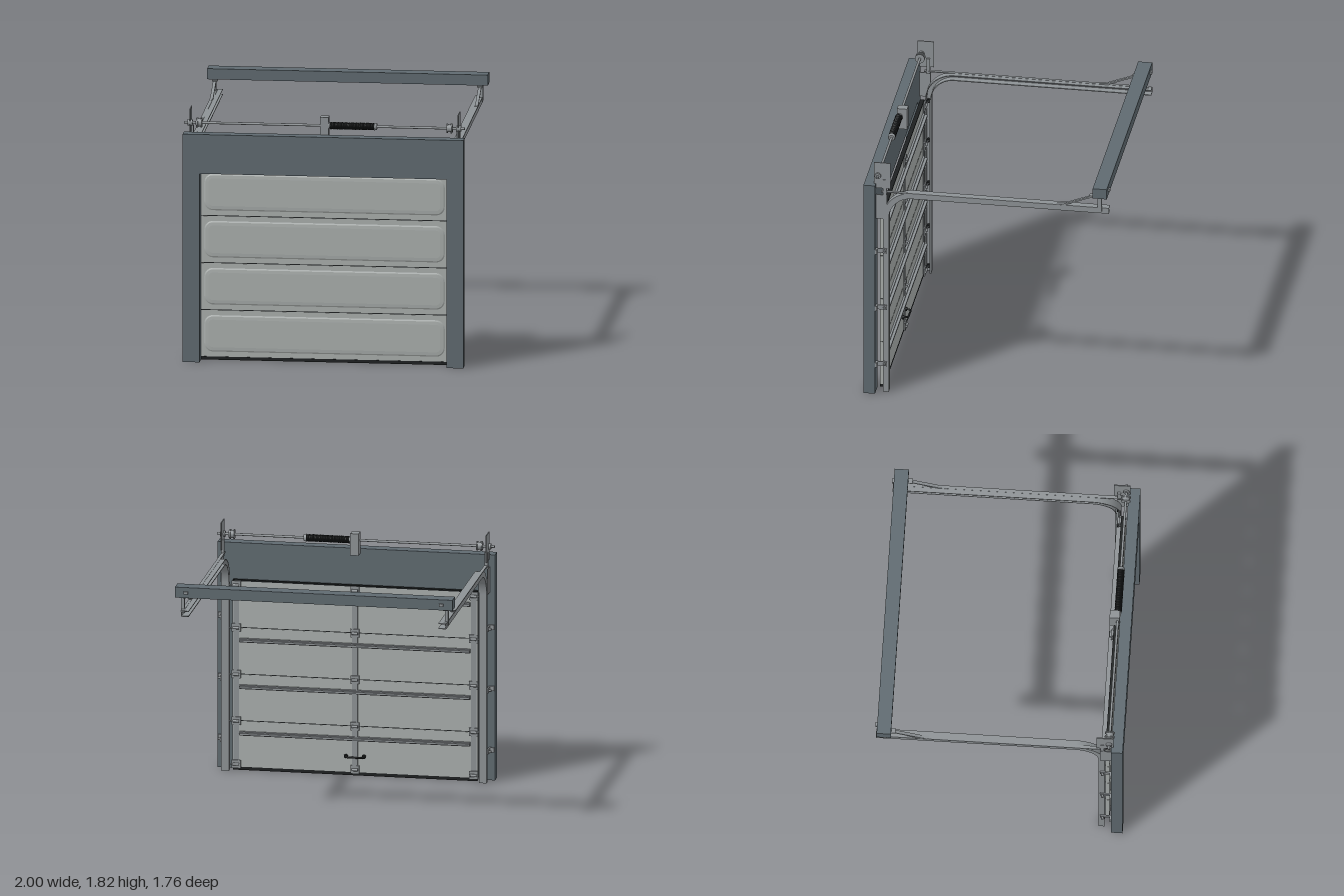
import * as THREE from 'three';

const mat = (name, color, side = THREE.FrontSide) => {
  const m = new THREE.MeshStandardMaterial({ color, side });
  m.name = name;
  return m;
};

export function createModel() {
  const frameGrey = mat('slate frame', 0x5f6a70);
  const panelGrey = mat('pale panel', 0xa9aeac);
  const steel = mat('galvanised steel', 0x8d9295);
  const black = mat('black rubber', 0x1d2021);
  const root = new THREE.Group();
  root.name = 'sectionalGarageDoor';

  const add = (name, geo, m, x = 0, y = 0, z = 0) => {
    const mesh = new THREE.Mesh(geo, m);
    mesh.name = name;
    mesh.position.set(x, y, z);
    root.add(mesh);
    return mesh;
  };
  // box given by its extents on each axis
  const box = (name, m, x0, x1, y0, y1, z0, z1) =>
    add(name, new THREE.BoxGeometry(Math.abs(x1 - x0), y1 - y0, z1 - z0), m,
      (x0 + x1) / 2, (y0 + y1) / 2, (z0 + z1) / 2);
  // cylinder lying along x
  const rod = (name, m, r, x0, x1, y, z, n = 20, r2 = r) =>
    add(name, new THREE.CylinderGeometry(r2, r, Math.abs(x1 - x0), n).rotateZ(-Math.PI / 2), m, (x0 + x1) / 2, y, z);
  // side outline of [z, y] points, extruded along x and centred on it
  const sidePlate = (name, m, shape, width, x) =>
    add(name, new THREE.ExtrudeGeometry(shape, { depth: width, bevelEnabled: false, curveSegments: 16 })
      .translate(0, 0, -width / 2).rotateY(-Math.PI / 2), m, x);

  // Wall surround: two jambs and a header in one piece
  const surround = new THREE.Shape([
    [-1, 0], [-0.88, 0], [-0.88, 1.37], [0.88, 1.37], [0.88, 0], [1, 0], [1, 1.655], [-1, 1.655],
  ].map(p => new THREE.Vector2(...p)));
  add('doorSurround', new THREE.ExtrudeGeometry(surround, { depth: 0.083, bevelEnabled: false }), frameGrey, 0, 0, 0.797);

  // Door sections with a raised, bevelled face
  const pitch = 0.342, base = 0.02;
  const w = 0.825, h = 0.1, r = 0.03;
  const face = new THREE.Shape();
  face.moveTo(-w + r, -h);
  face.lineTo(w - r, -h);
  face.absarc(w - r, -h + r, r, -Math.PI / 2, 0);
  face.absarc(w - r, h - r, r, 0, Math.PI / 2);
  face.absarc(-w + r, h - r, r, Math.PI / 2, Math.PI);
  face.absarc(-w + r, -h + r, r, Math.PI, Math.PI * 1.5);
  const bulge = new THREE.ExtrudeGeometry(face, {
    depth: 0.001, bevelThickness: 0.007, bevelSize: 0.032, bevelSegments: 2, curveSegments: 6,
  });
  for (let i = 0; i < 4; i++) {
    const y = base + i * pitch;
    box('doorSection', panelGrey, -0.885, 0.885, y + 0.003, y + pitch - 0.003, 0.752, 0.78);
    add('raisedFace', bulge, panelGrey, 0, y + pitch / 2, 0.779);
    // stiffening strut with a raised rib
    box('strut', steel, -0.83, 0.83, y + 0.235, y + 0.265, 0.738, 0.752);
    box('strutRib', steel, -0.83, 0.83, y + 0.243, y + 0.257, 0.718, 0.738);
    // upright stiles
    for (const x of [-0.855, 0, 0.855]) {
      box('stile', steel, x - 0.02, x + 0.02, y + 0.004, y + pitch - 0.004, 0.745, 0.752);
    }
    if (i) box('sectionJoint', black, -0.88, 0.88, y - 0.003, y + 0.003, 0.755, 0.777);
  }
  box('bottomSeal', black, -0.88, 0.88, 0, base + 0.003, 0.752, 0.782);
  box('topSeal', black, -0.88, 0.88, 1.385, 1.394, 0.75, 0.78);

  // Hinges on the joints, corner brackets, rollers
  for (let i = 0; i < 5; i++) {
    const y = i === 0 ? 0.045 : i === 4 ? 1.36 : base + i * pitch;
    for (const x of [-0.855, 0, 0.855]) {
      box('hingePlate', steel, x - 0.032, x + 0.032, y - 0.03, y + 0.03, 0.737, 0.747);
      rod('hingeKnuckle', steel, 0.01, x - 0.022, x + 0.022, y, 0.733, 10);
    }
    for (const s of [-1, 1]) {
      rod('rollerAxle', steel, 0.005, s * 0.84, s * 0.935, y, 0.73, 8);
      rod('roller', black, 0.014, s * 0.925, s * 0.945, y, 0.73, 14);
    }
  }

  // Pull handle on the inside
  const grip = new THREE.CatmullRomCurve3([
    [-0.065, 0, 0.03], [-0.055, 0, 0.005], [0, 0, 0], [0.055, 0, 0.005], [0.065, 0, 0.03],
  ].map(p => new THREE.Vector3(...p)));
  add('pullHandle', new THREE.TubeGeometry(grip, 24, 0.007, 8), black, 0, 0.14, 0.712);
  for (const s of [-1, 1]) {
    add('handleFoot', new THREE.CylinderGeometry(0.015, 0.015, 0.012, 14).rotateX(Math.PI / 2), black, s * 0.065, 0.14, 0.747);
  }

  // Band between two offsets of the track path: up, round the bend, then back
  const trackBand = (a, b) => {
    const zc = 0.54, yc = 1.385, R = 0.165;
    const s = new THREE.Shape();
    s.moveTo(zc + R + b, 0);
    s.lineTo(zc + R + b, yc);
    s.absarc(zc, yc, R + b, 0, Math.PI / 2, false);
    s.lineTo(-0.875, yc + R + b);
    s.lineTo(-0.875, yc + R + a);
    s.lineTo(zc, yc + R + a);
    s.absarc(zc, yc, R + a, Math.PI / 2, 0, true);
    s.lineTo(zc + R + a, 0);
    return s;
  };
  const strap = new THREE.Shape([
    [-0.5, 1.59], [-0.55, 1.59], [-0.77, 1.676], [-0.8, 1.676], [-0.8, 1.686], [-0.765, 1.686], [-0.55, 1.602], [-0.5, 1.597],
  ].map(p => new THREE.Vector2(...p)));

  const shaftY = 1.72, shaftZ = 0.782;
  for (const s of [-1, 1]) {
    // C-shaped track, open towards the door
    sidePlate('trackWeb', steel, trackBand(0, 0.042), 0.006, s * 0.953);
    sidePlate('trackInnerFlange', steel, trackBand(0, 0.006), 0.052, s * 0.926);
    sidePlate('trackOuterFlange', steel, trackBand(0.036, 0.042), 0.052, s * 0.926);
    box('trackLip', steel, s * 0.9, s * 0.904, 0, 1.385, 0.705, 0.718);
    box('trackAngle', steel, s * 0.935, s * 0.958, 1.587, 1.594, -0.87, 0.76);

    // Track fixings on the jamb
    for (const y of [0.225, 0.675, 1.125]) {
      box('trackBracket', steel, s * 0.956, s * 0.966, y - 0.017, y + 0.017, 0.717, 0.797);
      box('bracketFoot', steel, s * 0.96, s * 0.995, y - 0.017, y + 0.017, 0.785, 0.797);
      rod('bracketBolt', steel, 0.009, s * 0.95, s * 0.985, y, 0.735, 8);
    }
    box('flagPlate', steel, s * 0.957, s * 0.964, 1.38, 1.57, 0.717, 0.797);
    box('flagPost', steel, s * 0.938, s * 0.962, 1.57, 1.69, 0.72, 0.745);

    // Shaft end plate, bearing and cable drum
    box('endPlate', steel, s * 0.952, s * 0.959, 1.62, 1.822, 0.692, 0.812);
    rod('endBearing', steel, 0.022, s * 0.94, s * 0.975, shaftY, shaftZ);
    rod('cableDrum', steel, 0.027, s * 0.872, s * 0.915, shaftY, shaftZ, 24);
    rod('drumFlange', steel, 0.035, s * 0.872, s * 0.88, shaftY, shaftZ, 24);
    rod('drumFlange', steel, 0.035, s * 0.9, s * 0.91, shaftY, shaftZ, 24);

    // Hanger under the rear beam
    box('hangerPost', steel, s * 0.94, s * 0.962, 1.565, 1.686, -0.825, -0.795);
    box('hangerPlate', steel, s * 0.925, s * 0.962, 1.677, 1.686, -0.842, -0.735);
    sidePlate('hangerStrap', steel, strap, 0.022, s * 0.945);
    box('beamBolt', steel, s * 0.905, s * 0.935, 1.715, 1.735, -0.88, -0.86);
  }
  box('rearBeam', frameGrey, -1, 1, 1.686, 1.763, -0.867, -0.766);

  // Torsion shaft, centre bearing and spring
  rod('torsionShaft', steel, 0.009, -1, 1, shaftY, shaftZ, 14);
  box('centreBracket', steel, -0.03, 0.03, 1.62, 1.78, 0.725, 0.797);
  class Helix extends THREE.Curve {
    getPoint(t, out = new THREE.Vector3()) {
      const a = t * Math.PI * 2 * 32;
      return out.set(0.04 + 0.315 * t, Math.cos(a) * 0.022, Math.sin(a) * 0.022);
    }
  }
  add('torsionSpring', new THREE.TubeGeometry(new Helix(), 640, 0.0048, 6), black, 0, shaftY, shaftZ);
  rod('springCore', black, 0.018, 0.035, 0.355, shaftY, shaftZ, 14);
  rod('springPlug', steel, 0.028, 0.355, 0.375, shaftY, shaftZ, 20, 0.022);
  rod('springPlug', steel, 0.024, 0.03, 0.045, shaftY, shaftZ);

  return root;
}
